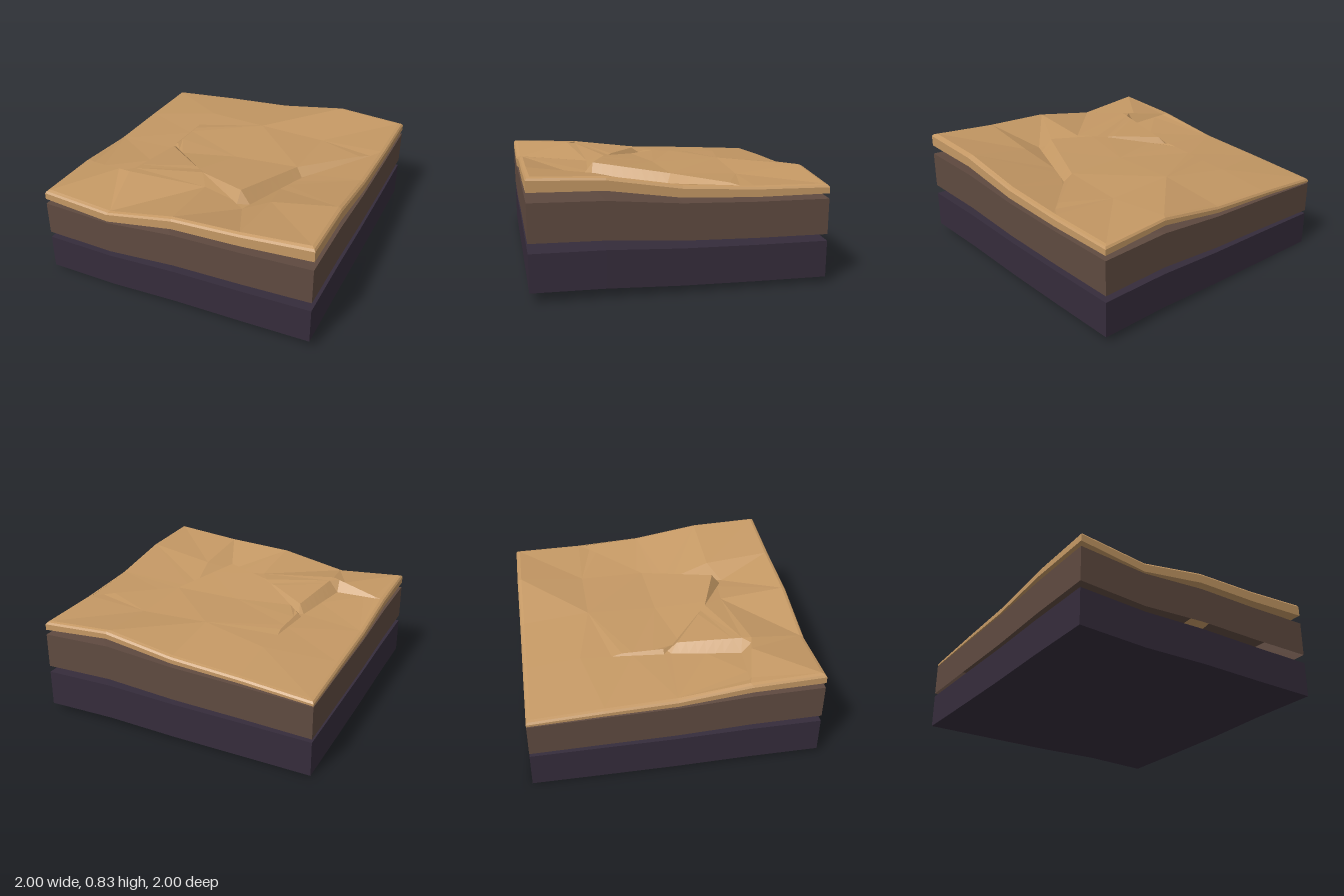
import * as THREE from 'three';

// Surface heights on a 5 x 5 grid, rows from back to front, columns from x = -1 to 1
const H = [
  [0.54, 0.59, 0.63, 0.715, 0.69],
  [0.57, 0.62, 0.68, 0.67, 0.70],
  [0.595, 0.65, 0.67, 0.66, 0.73],
  [0.66, 0.70, 0.70, 0.72, 0.81],
  [0.685, 0.65, 0.75, 0.78, 0.83],
];

// Cracks: [low start, high start, low end, high end]; equal points make a tip
const leftTip = [-0.97, 0.49, 0.655], rightTip = [0.97, -0.46, 0.70], backTip = [-0.48, -0.6, 0.63];
const turn = [-0.09, 0.36, 0.715];
const frontLow = [-0.62, 0.51, 0.645], frontHigh = [-0.56, 0.59, 0.73], cornerHigh = [-0.48, 0.08, 0.685];
const wedgeLow = [0.32, 0.58, 0.66], wedgeHigh = [0.27, 0.49, 0.745];
const bendLow = [0.53, 0, 0.63], bendHigh = [0.48, -0.03, 0.69];
const cracks = [
  [leftTip, leftTip, frontLow, frontHigh],
  [frontLow, frontHigh, [-0.53, 0.03, 0.63], cornerHigh],
  [[-0.5, 0.01, 0.635], cornerHigh, turn, turn],
  [turn, turn, wedgeLow, wedgeHigh],
  [wedgeLow, wedgeHigh, bendLow, bendHigh],
  [bendLow, bendHigh, rightTip, rightTip],
  [backTip, backTip, [-0.53, -0.02, 0.63], [-0.5, -0.02, 0.655]],
];

// Grid positions around the border, counter-clockwise from above
const border = [];
for (let i = 0; i < 4; i++) border.push([i, 4]);
for (let i = 4; i > 0; i--) border.push([4, i]);
for (let i = 4; i > 0; i--) border.push([i, 0]);
for (let i = 0; i < 4; i++) border.push([0, i]);

const at = (i) => i / 2 - 1;
const ring = (size, height) => border.map(([i, j]) => [at(i) * size, height(at(i), at(j), H[j][i]), at(j) * size]);

// Collects triangles and turns them into a faceted geometry
function faceted(tris) {
  const g = new THREE.BufferGeometry();
  g.setAttribute('position', new THREE.Float32BufferAttribute(tris.flat(2), 3));
  g.computeVertexNormals();
  return g;
}

function band(tris, lower, upper) {
  lower.forEach((a, i) => {
    const n = (i + 1) % lower.length;
    tris.push([a, lower[n], upper[n]], [a, upper[n], upper[i]]);
  });
}

// Delaunay triangulation of [x, z] points
function triangulate(points) {
  const p = points.map(([x, z], i) => [x + 1e-4 * Math.sin(i * 12.9), z + 1e-4 * Math.cos(i * 7.3)]);
  const n = p.length;
  p.push([-300, -200], [300, -200], [0, 400]);
  const make = (a, b, c) => {
    const [ax, ay] = p[a];
    const bx = p[b][0] - ax, by = p[b][1] - ay, cx = p[c][0] - ax, cy = p[c][1] - ay;
    const d = 2 * (bx * cy - by * cx), b2 = bx * bx + by * by, c2 = cx * cx + cy * cy;
    const ux = (cy * b2 - by * c2) / d, uy = (bx * c2 - cx * b2) / d;
    return { v: [a, b, c], x: ax + ux, y: ay + uy, r: ux * ux + uy * uy };
  };
  let tris = [make(n, n + 1, n + 2)];
  for (let i = 0; i < n; i++) {
    const edges = new Map();
    tris = tris.filter((t) => {
      if ((p[i][0] - t.x) ** 2 + (p[i][1] - t.y) ** 2 >= t.r) return true;
      for (let k = 0; k < 3; k++) {
        const a = t.v[k], b = t.v[(k + 1) % 3], back = b + ',' + a;
        if (edges.has(back)) edges.delete(back);
        else edges.set(a + ',' + b, [a, b]);
      }
      return false;
    });
    for (const [a, b] of edges.values()) tris.push(make(a, b, i));
  }
  return tris.map((t) => t.v).filter((v) => v.every((k) => k < n));
}

// Points of the cracked top surface as [x, z, y]
function surfacePoints() {
  const pts = [];
  const add = (q) => {
    if (!pts.some((o) => Math.hypot(o[0] - q[0], o[1] - q[1]) < 0.012)) pts.push(q);
  };
  border.forEach(([i, j]) => add([at(i) * 0.97, at(j) * 0.97, H[j][i]]));
  for (const [i, j] of [[2, 1], [3, 1], [2, 2], [2, 3], [3, 3]]) add([at(i), at(j), H[j][i]]);
  const mix = (a, b, t) => a.map((v, k) => v + (b[k] - v) * t);
  const steps = 8;
  for (const [lowA, highA, lowB, highB] of cracks) {
    for (let s = 0; s <= steps; s++) {
      add(mix(lowA, lowB, s / steps));
      add(mix(highA, highB, s / steps));
    }
  }
  return pts;
}

// Thin cracked crust with a rounded rim and an underside that follows the top
function crustGeometry() {
  const thickness = (x, z) => 0.065 + 0.014 * x + 0.017 * z;
  const pts = surfacePoints();
  const top = pts.map(([x, z, y]) => [x, y, z]);
  const under = pts.map(([x, z, y]) => [x, y - thickness(x, z), z]);
  const tris = [];
  for (let [a, b, c] of triangulate(pts)) {
    const A = pts[a], B = pts[b], C = pts[c];
    const up = (B[1] - A[1]) * (C[0] - A[0]) - (B[0] - A[0]) * (C[1] - A[1]);
    if (Math.abs(up) < 1e-6) continue;
    if (up < 0) [b, c] = [c, b];
    tris.push([top[a], top[b], top[c]], [under[a], under[c], under[b]]);
  }
  const rings = [
    ring(0.97, (x, z, h) => h - thickness(x * 0.97, z * 0.97)),
    ring(1, (x, z, h) => h - thickness(x, z)),
    ring(1, (x, z, h) => h - 0.02),
    ring(0.99, (x, z, h) => h - 0.006),
    ring(0.97, (x, z, h) => h),
  ];
  for (let i = 0; i < 4; i++) band(tris, rings[i], rings[i + 1]);
  return faceted(tris);
}

// Wavy slab between two levels, each a softened copy of the surface heights
function slabGeometry(topLevel, topSlope, baseLevel, baseSlope, closed) {
  const level = (base, slope) => (x, z, h) => base + slope * (h - 0.69) + 0.006 * (x - 1);
  const topY = level(topLevel, topSlope), baseY = level(baseLevel, baseSlope);
  const tris = [];
  const point = (f, i, j) => [at(i), Math.max(0, f(at(i), at(j), H[j][i])), at(j)];
  for (let j = 0; j < 4; j++) {
    for (let i = 0; i < 4; i++) {
      const quad = (f) => [point(f, i, j), point(f, i, j + 1), point(f, i + 1, j + 1), point(f, i + 1, j)];
      const [a, b, c, d] = quad(topY);
      tris.push([a, b, c], [a, c, d]);
      if (!closed) continue;
      const [e, f, g, h] = quad(baseY);
      tris.push([e, g, f], [e, h, g]);
    }
  }
  band(tris, ring(1, (x, z, h) => Math.max(0, baseY(x, z, h))), ring(1, topY));
  return faceted(tris);
}

export function createModel() {
  const material = (name, color) => {
    const m = new THREE.MeshStandardMaterial({ color, flatShading: true, side: THREE.DoubleSide });
    m.name = name;
    return m;
  };
  const model = new THREE.Group();
  model.name = 'groundLayers';
  const add = (name, geometry, mat) => {
    const mesh = new THREE.Mesh(geometry, mat);
    mesh.name = name;
    model.add(mesh);
  };
  add('crackedCrust', crustGeometry(), material('sand', 0xc49864));
  // The middle layer is open underneath
  add('middleLayer', slabGeometry(0.592, 0.54, 0.345, 0.42, false), material('brown earth', 0x5f4a40));
  add('lowerLayer', slabGeometry(0.298, 0.27, 0.042, 0.22, true), material('dark rock', 0x352c3b));
  return model;
}
